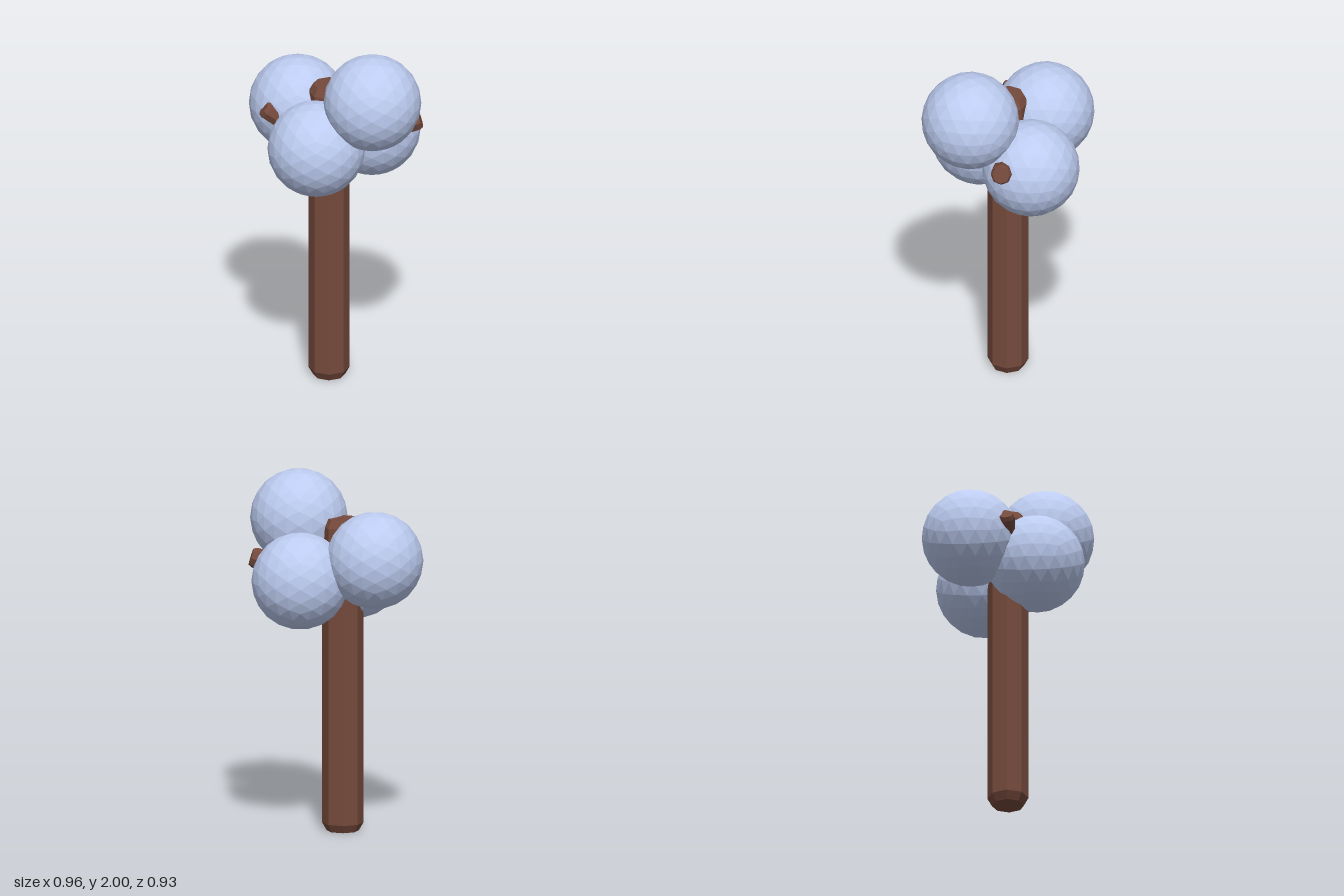
import * as THREE from 'three';

const bark = new THREE.MeshStandardMaterial({ color: 0x754a3c, flatShading: true });
const leaf = new THREE.MeshStandardMaterial({ color: 0xbccbf0, flatShading: true });

// Eight-sided log with bevelled ends, standing on its own origin
function log(name, radius, length, bevel, inset) {
  const profile = [
    [0, 0], [radius * inset, 0], [radius, bevel],
    [radius, length - bevel], [radius * inset, length], [0, length],
  ].map(([r, y]) => new THREE.Vector2(r, y));
  const mesh = new THREE.Mesh(new THREE.LatheGeometry(profile, 8), bark);
  mesh.name = name;
  return mesh;
}

// Branch reaching from inside the trunk to its tip
function branch(name, base, tip, radius) {
  const from = new THREE.Vector3(...base);
  const dir = new THREE.Vector3(...tip).sub(from);
  const mesh = log(name, radius, dir.length(), 0.022, 0.82);
  mesh.position.copy(from);
  mesh.quaternion.setFromUnitVectors(new THREE.Vector3(0, 1, 0), dir.normalize());
  return mesh;
}

export function createModel() {
  const tree = new THREE.Group();
  tree.name = 'tree';

  // Trunk
  const trunk = log('trunk', 0.114, 1.755, 0.045, 0.78);
  trunk.position.set(-0.041, 0.005, 0);
  tree.add(trunk);

  // Side branches
  tree.add(branch('leftBranch', [-0.03, 1.39, 0], [0.465, 1.545, 0], 0.058));
  tree.add(branch('rightBranch', [-0.05, 1.36, 0], [-0.4, 1.615, 0.01], 0.052));

  // Foliage balls
  const ball = new THREE.IcosahedronGeometry(0.27, 3);
  [
    ['topFoliage', 0.2, 1.73, 0.19],
    ['backRightFoliage', -0.215, 1.56, -0.195],
    ['frontRightFoliage', -0.11, 1.44, 0.16],
    ['backLeftFoliage', 0.195, 1.436, -0.145],
  ].forEach(([name, x, y, z]) => {
    const mesh = new THREE.Mesh(ball, leaf);
    mesh.name = name;
    mesh.position.set(x, y, z);
    tree.add(mesh);
  });

  return tree;
}
